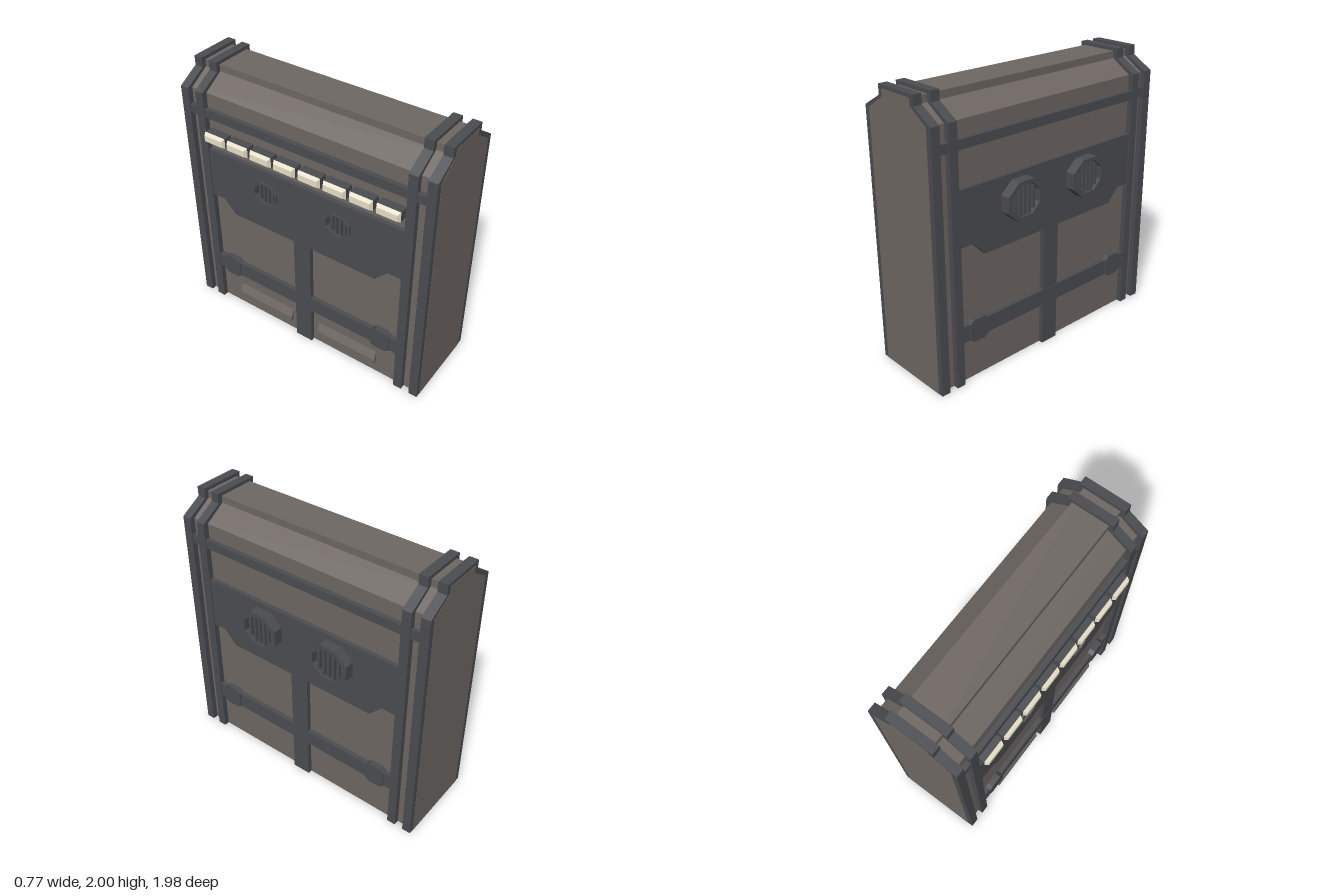
import * as THREE from 'three';

const BROWN = new THREE.MeshStandardMaterial({ color: 0x6e6763 });
const DARK = new THREE.MeshStandardMaterial({ color: 0x4b4c50 });
const CREAM = new THREE.MeshStandardMaterial({ color: 0xe6dfc8 });
const VENT_Y = 1.218, VENT_U = 0.298;

function add(parent, name, geometry, material, x = 0, y = 0, z = 0) {
  const mesh = new THREE.Mesh(geometry, material);
  mesh.name = name;
  mesh.position.set(x, y, z);
  parent.add(mesh);
  return mesh;
}

const box = (w, h, d) => new THREE.BoxGeometry(w, h, d);
const toShape = pts => new THREE.Shape(pts.map(p => new THREE.Vector2(p[0], p[1])));
// closed outline from its right half
const mirrored = half => toShape([...half, ...half.map(([x, y]) => [-x, y]).reverse()]);
const extrude = (shape, depth) => new THREE.ExtrudeGeometry(shape, { depth, bevelEnabled: false });

// flat-topped octagon, given half sizes across the flats
function octagon(rx, ry, cx = 0, cy = 0) {
  const k = 1 / Math.cos(Math.PI / 8);
  return Array.from({ length: 8 }, (_, i) => {
    const a = (i + 0.5) * Math.PI / 4;
    return [cx + rx * k * Math.cos(a), cy + ry * k * Math.sin(a)];
  });
}

function cutVents(shape, rx, ry) {
  for (const s of [-1, 1]) shape.holes.push(toShape(octagon(rx, ry, s * VENT_U, VENT_Y)));
  return shape;
}

// octagonal vent collar with vertical slats
function vent(side, u, rx, ry, hole, from, to, slats) {
  const g = new THREE.Group();
  g.name = 'vent';
  g.position.set(u, VENT_Y, 0);
  const ring = toShape(octagon(rx, ry));
  ring.holes.push(toShape(octagon(hole, hole * 0.93)));
  add(g, 'ventCollar', extrude(ring, to - from), DARK, 0, 0, from);
  const step = 2 * hole / (slats + 1);
  for (let i = 0; i < slats; i++) {
    const x = (i - (slats - 1) / 2) * step;
    const h = 2 * Math.min(hole * 0.95, hole * 1.34 - Math.abs(x));
    add(g, 'ventSlat', box(step * 0.55, h, 0.03), DARK, x, 0, to - 0.03);
  }
  side.add(g);
}

// side cladding, built facing +z and then turned outward
function makeSide(name) {
  const side = new THREE.Group();
  side.name = name;
  const r = name === 'ventSide' ? 0.118 : 0.085;
  const panel = cutVents(mirrored([
    [0.07, 0.91], [0.595, 0.91], [0.69, 1.01], [0.8, 1.01], [0.8, 1.4]]), r, r * 0.93);
  add(side, 'upperPanel', extrude(panel, 0.05), DARK, 0, 0, 0.272);
  add(side, 'centrePost', box(0.14, 0.92, 0.05), DARK, 0, 0.46, 0.297);
  add(side, 'crossBand', box(1.6, 0.12, 0.05), DARK, 0, 0.38, 0.3);
  for (const s of [-1, 1]) {
    const clasp = toShape([[-0.075, 0.32], [-0.045, 0.3], [0.045, 0.3], [0.075, 0.32],
      [0.075, 0.44], [0.045, 0.466], [-0.045, 0.466], [-0.075, 0.44]]);
    add(side, 'bandClasp', extrude(clasp, 0.05), DARK, s * 0.665, 0, 0.285);
  }
  add(side, 'upperRail', box(1.97, 0.065, 0.05), DARK, 0, 1.688, 0.3);
  return side;
}

// lamp with a dark base and a tapered lens
function lamp(side, u) {
  const g = new THREE.Group();
  g.name = 'lamp';
  g.position.set(u, 1.527, 0);
  add(g, 'lampBase', box(0.172, 0.076, 0.07), DARK, 0, 0, 0.32);
  const lens = box(0.172, 0.076, 0.025);
  const p = lens.attributes.position;
  for (let i = 0; i < p.count; i++) {
    if (p.getZ(i) > 0) p.setXY(i, p.getX(i) * 0.86, p.getY(i) * 0.6);
  }
  const flat = lens.toNonIndexed();
  flat.computeVertexNormals();
  add(g, 'lampLens', flat, CREAM, 0, 0, 0.3675);
  side.add(g);
}

export function createModel() {
  const model = new THREE.Group();
  model.name = 'ventilatedWallUnit';
  const unit = new THREE.Group();
  unit.name = 'unit';
  unit.position.x = -0.01;
  model.add(unit);

  // lower body with vent tunnels running from side to side
  const lower = cutVents(mirrored([[0.99, 0], [0.99, 1.5]]), 0.118, 0.11);
  const body = extrude(lower, 0.58);
  body.translate(0, 0, -0.29);
  body.rotateY(Math.PI / 2);
  add(unit, 'lowerBody', body, BROWN);

  // stepped roof
  const roof = mirrored([[0.29, 1.5], [0.29, 1.83], [0.14, 1.925], [0.14, 1.976]]);
  add(unit, 'roof', extrude(roof, 1.98), BROWN, 0, 0, -0.99);

  // paired ribs wrapping each end
  const rib = mirrored([[0.33, 0], [0.33, 1.84], [0.173, 1.93], [0.173, 2]]);
  for (const z of [-0.988, -0.86, 0.795, 0.923]) {
    add(unit, 'endRib', extrude(rib, 0.065), DARK, 0, 0, z);
  }

  // +x side with large raised vents
  const ventSide = makeSide('ventSide');
  ventSide.rotation.y = Math.PI / 2;
  for (const s of [-1, 1]) vent(ventSide, s * VENT_U, 0.155, 0.138, 0.118, 0.31, 0.395, 5);
  unit.add(ventSide);

  // -x side with lamps, small vents and sloped ledges
  const lampSide = makeSide('lampSide');
  lampSide.rotation.y = -Math.PI / 2;
  for (const s of [-1, 1]) {
    vent(lampSide, s * VENT_U, 0.1, 0.09, 0.085, 0.3, 0.335, 4);
    const ledge = extrude(toShape([[0, 0.09], [0.03, 0.09], [0.03, 0.13], [0, 0.2]]), 0.5);
    ledge.translate(0, 0, -0.25);
    ledge.rotateY(-Math.PI / 2);
    add(lampSide, 'slopedLedge', ledge, BROWN, s * 0.37, 0, 0.288);
  }
  for (let i = 0; i < 8; i++) lamp(lampSide, (i - 3.5) * 0.198);
  unit.add(lampSide);

  return model;
}
